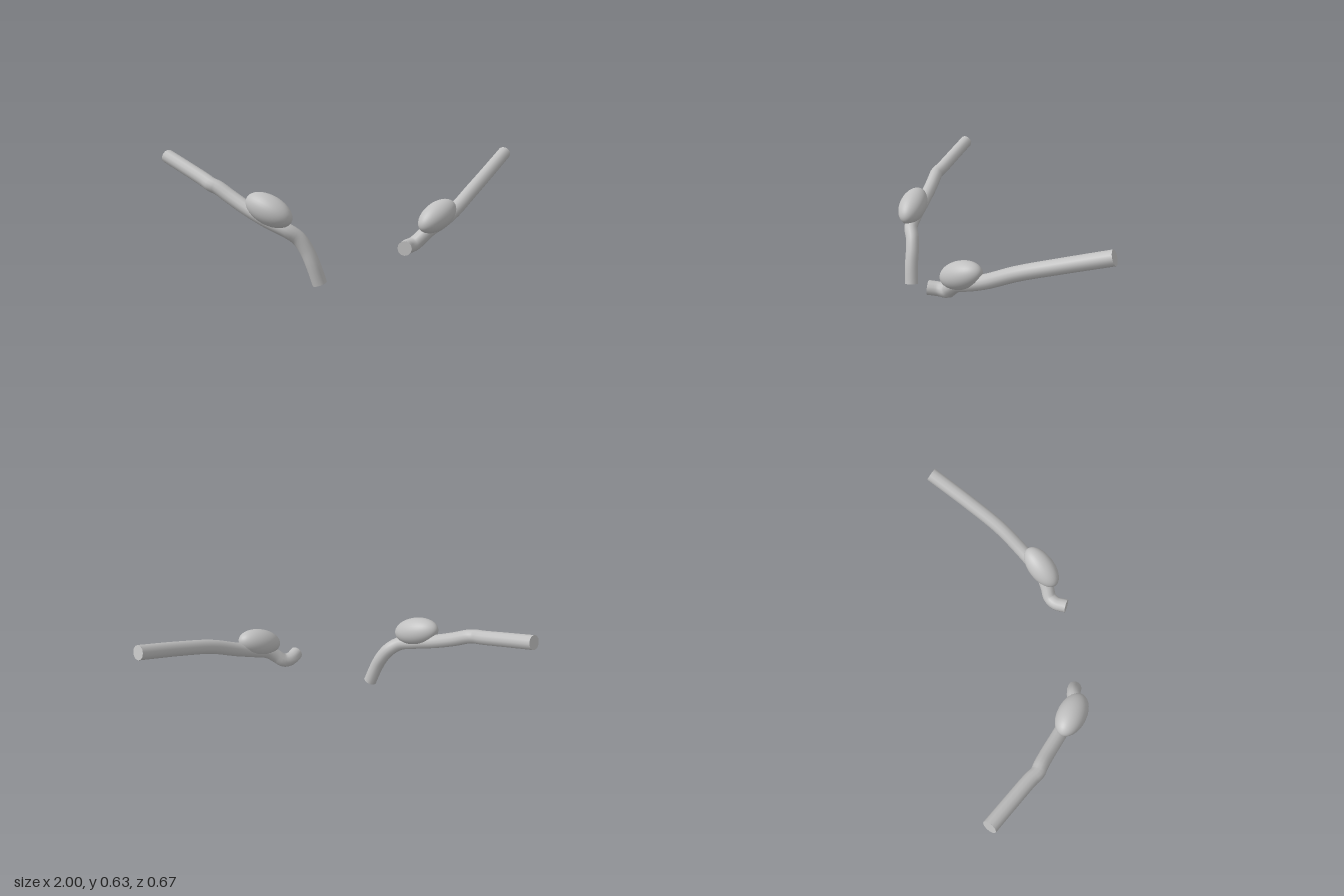
import * as THREE from 'three';

const RADIUS = 0.038, SIDES = 12, STEPS = 72;

export function createModel() {
  const model = new THREE.Group();
  const grey = new THREE.MeshStandardMaterial({ color: 0xc0c0c0 });
  grey.name = 'light grey';

  function add(name, geometry, parent) {
    const mesh = new THREE.Mesh(geometry, grey);
    mesh.name = name;
    parent.add(mesh);
    return mesh;
  }

  // Bent rod with a flat cap on each end
  function addRod(parent, points) {
    const curve = new THREE.CatmullRomCurve3(points.map((p) => new THREE.Vector3(...p)));
    add('rod', new THREE.TubeGeometry(curve, STEPS, RADIUS, SIDES), parent);
    for (const [t, sign, name] of [[0, -1, 'innerCap'], [1, 1, 'outerCap']]) {
      const cap = add(name, new THREE.CircleGeometry(RADIUS, SIDES), parent);
      cap.position.copy(curve.getPointAt(t));
      const outward = curve.getTangentAt(t).multiplyScalar(sign);
      cap.quaternion.setFromUnitVectors(new THREE.Vector3(0, 0, 1), outward);
    }
  }

  // Egg-shaped bulb, long along the given direction
  function addBulb(parent, centre, axis, length, width) {
    const bulb = add('bulb', new THREE.SphereGeometry(1, 32, 20), parent);
    bulb.scale.set(width, length, width);
    bulb.position.set(...centre);
    bulb.quaternion.setFromUnitVectors(new THREE.Vector3(0, 1, 0), new THREE.Vector3(...axis).normalize());
  }

  // Left side: inner end turns to the front
  const left = new THREE.Group();
  left.name = 'leftBranch';
  addRod(left, [
    [0.22, 0.19, 0.317], [0.25, 0.185, 0.262], [0.29, 0.19, 0.235], [0.335, 0.225, 0.228],
    [0.38, 0.26, 0.215], [0.45, 0.288, 0.18], [0.54, 0.332, 0.118], [0.66, 0.407, 0.018],
    [0.80, 0.48, -0.125], [0.97, 0.565, -0.31],
  ]);
  addBulb(left, [0.42, 0.327, 0.208], [0.79, 0.38, -0.48], 0.13, 0.072);

  // Right side: inner end drops to the ground, with a small kink farther out
  const right = new THREE.Group();
  right.name = 'rightBranch';
  addRod(right, [
    [-0.213, 0.015, 0.286], [-0.245, 0.115, 0.275], [-0.275, 0.19, 0.259], [-0.315, 0.25, 0.246],
    [-0.37, 0.29, 0.238], [-0.45, 0.325, 0.19], [-0.55, 0.375, 0.11], [-0.64, 0.43, 0.035],
    [-0.705, 0.473, -0.015], [-0.737, 0.485, -0.036], [-0.765, 0.5, -0.075], [-0.86, 0.547, -0.185],
    [-0.97, 0.6, -0.31],
  ]);
  addBulb(right, [-0.457, 0.392, 0.198], [-0.745, 0.37, -0.555], 0.137, 0.076);

  model.add(left, right);
  return model;
}
